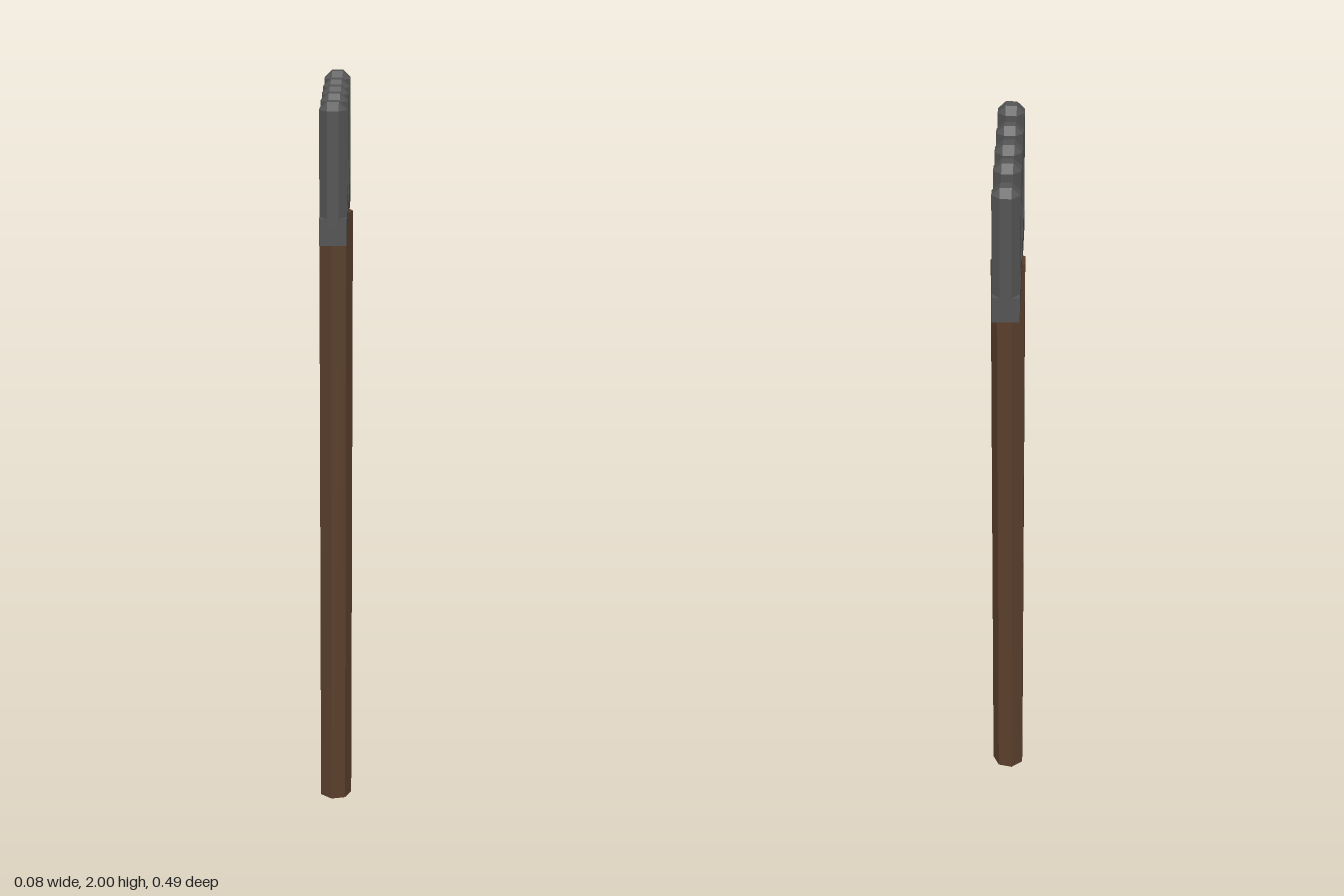
import * as THREE from 'three';
import { ConvexGeometry } from 'three/addons/geometries/ConvexGeometry.js';

const wood = new THREE.MeshStandardMaterial({ color: 0x5a3f2c, flatShading: true });
const metal = new THREE.MeshStandardMaterial({ color: 0x555555, flatShading: true });

// Octagonal prong whose top is chamfered in to a small square
function tineGeometry(halfX, halfZ, bottom, shoulder, top) {
  const k = Math.SQRT2 - 1;
  const points = [];
  for (const sx of [-1, 1]) {
    for (const sz of [-1, 1]) {
      for (const y of [bottom, shoulder]) {
        points.push(new THREE.Vector3(sx * halfX, y, sz * halfZ * k));
        points.push(new THREE.Vector3(sx * halfX * k, y, sz * halfZ));
      }
      points.push(new THREE.Vector3(sx * halfX * k, top, sz * halfZ * k));
    }
  }
  return new ConvexGeometry(points);
}

export function createModel() {
  const group = new THREE.Group();
  const add = (name, geometry, material, x, y, z) => {
    const mesh = new THREE.Mesh(geometry, material);
    mesh.name = name;
    mesh.position.set(x, y, z);
    group.add(mesh);
  };

  // Seven-sided shaft with one edge pointing to +x
  const shaft = new THREE.CylinderGeometry(0.0447, 0.0447, 1.682, 7, 1, false, Math.PI / 2);
  add('handle', shaft, wood, -0.0027, 0.841, 0);

  // Crossbar the prongs stand on
  add('crossbar', new THREE.BoxGeometry(0.067, 0.067, 0.488), metal, -0.0025, 1.686, -0.001);

  // Five slightly uneven prongs: [centre z, half depth]
  const tines = [[-0.2145, 0.031], [-0.0935, 0.031], [0.0025, 0.033], [0.1, 0.027], [0.2125, 0.031]];
  tines.forEach(([z, halfZ], i) => {
    add(`tine${i + 1}`, tineGeometry(0.0333, halfZ, 1.70, 1.981, 2), metal, -0.0025, 0, z);
  });

  return group;
}
